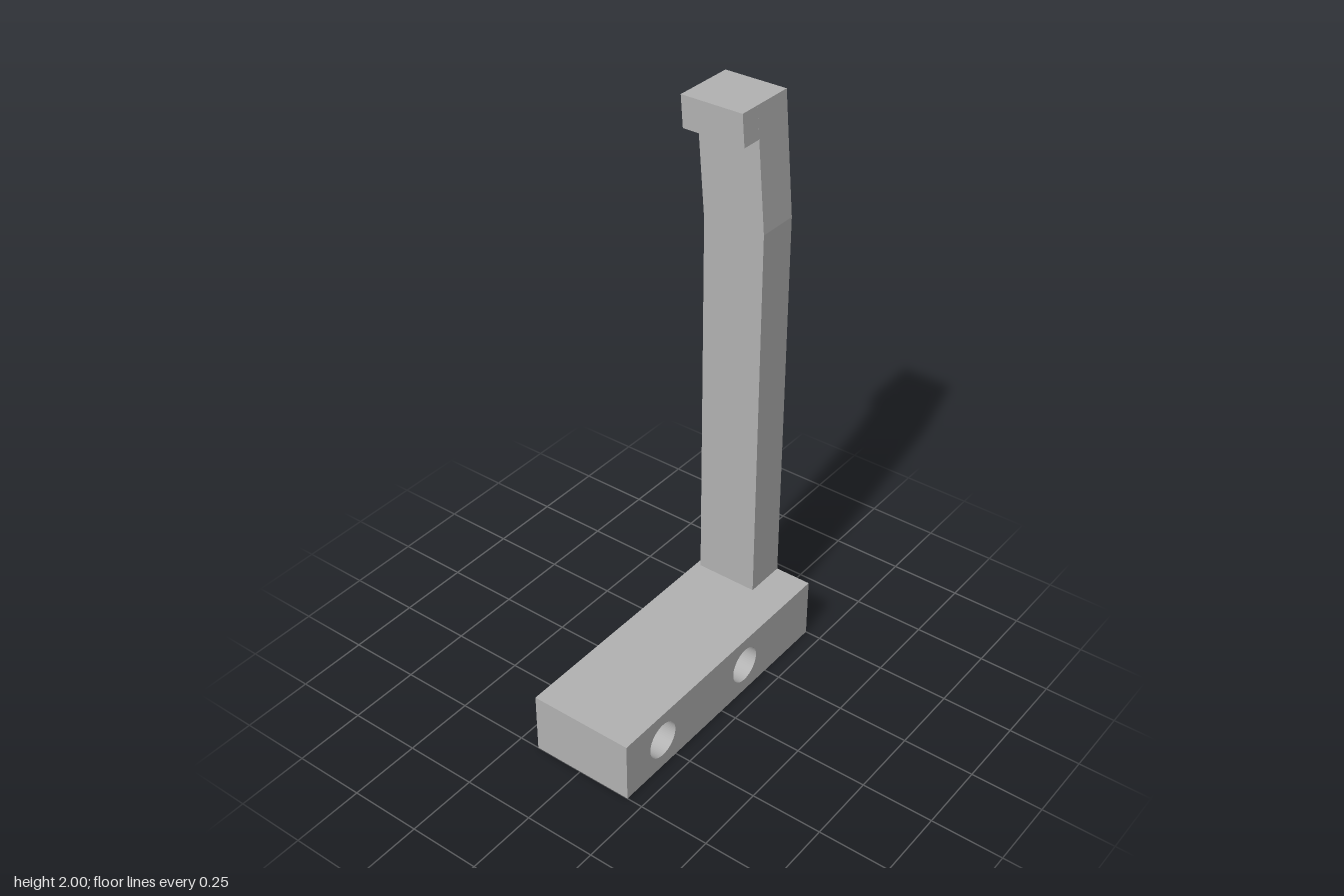
import * as THREE from 'three';

const grey = new THREE.MeshStandardMaterial({ color: 0xb2b2b2 });
grey.name = 'plain grey';

// Base limits and screw hole layout
const BASE = { x0: -0.177, x1: 0.193, height: 0.22, front: 0.5, back: -0.5 };
const HOLES = { z: [0.317, -0.128], y: 0.112, radius: 0.065, sinkRadius: 0.105, sinkDepth: 0.04 };

function part(name, geometry) {
  const mesh = new THREE.Mesh(geometry, grey);
  mesh.name = name;
  return mesh;
}

function extrude(shape, depth) {
  return new THREE.ExtrudeGeometry(shape, { depth, bevelEnabled: false, curveSegments: 32 });
}

function polygon(points) {
  return new THREE.Shape(points.map(([x, y]) => new THREE.Vector2(x, y)));
}

// Slab of the base from x0 to x1, pierced by round holes (shape x runs along -z)
function baseSlab(x0, x1, radius) {
  const shape = polygon([
    [-BASE.front, 0], [-BASE.back, 0], [-BASE.back, BASE.height], [-BASE.front, BASE.height],
  ]);
  for (const z of HOLES.z) {
    shape.holes.push(new THREE.Path().absarc(-z, HOLES.y, radius, 0, Math.PI * 2, true));
  }
  return extrude(shape, x1 - x0).rotateY(Math.PI / 2).translate(x0, 0, 0);
}

// Outline in x and y, extruded from z0 to z1
function upright(points, z0, z1) {
  return extrude(polygon(points), z1 - z0).translate(0, 0, z0);
}

export function createModel() {
  const model = new THREE.Group();
  model.name = 'hookedBracket';

  // Base block, with a thin outer layer opened up for the countersinks
  const seam = BASE.x0 + HOLES.sinkDepth;
  model.add(part('baseBlock', baseSlab(seam, BASE.x1, HOLES.radius)));
  model.add(part('baseCountersunkSide', baseSlab(BASE.x0, seam, HOLES.sinkRadius)));

  // Conical countersinks, facing inwards
  for (const z of HOLES.z) {
    const cone = new THREE.LatheGeometry([
      new THREE.Vector2(HOLES.sinkRadius, 0),
      new THREE.Vector2(HOLES.radius, -HOLES.sinkDepth),
    ], 48);
    cone.rotateZ(Math.PI / 2).translate(BASE.x0, HOLES.y, z);
    model.add(part('countersink', cone));
  }

  // Post with a slight bend near the top
  model.add(part('post', upright([
    [-0.16, BASE.height], [0.062, BASE.height], [0.062, 1.59],
    [0.026, 2], [-0.195, 2], [-0.16, 1.575],
  ], -0.5, -0.353)));

  // Hook lip at the top of the post
  model.add(part('hookLip', upright([
    [-0.187, 1.895], [0.035, 1.895], [0.026, 2], [-0.195, 2],
  ], -0.353, -0.28)));

  return model;
}
